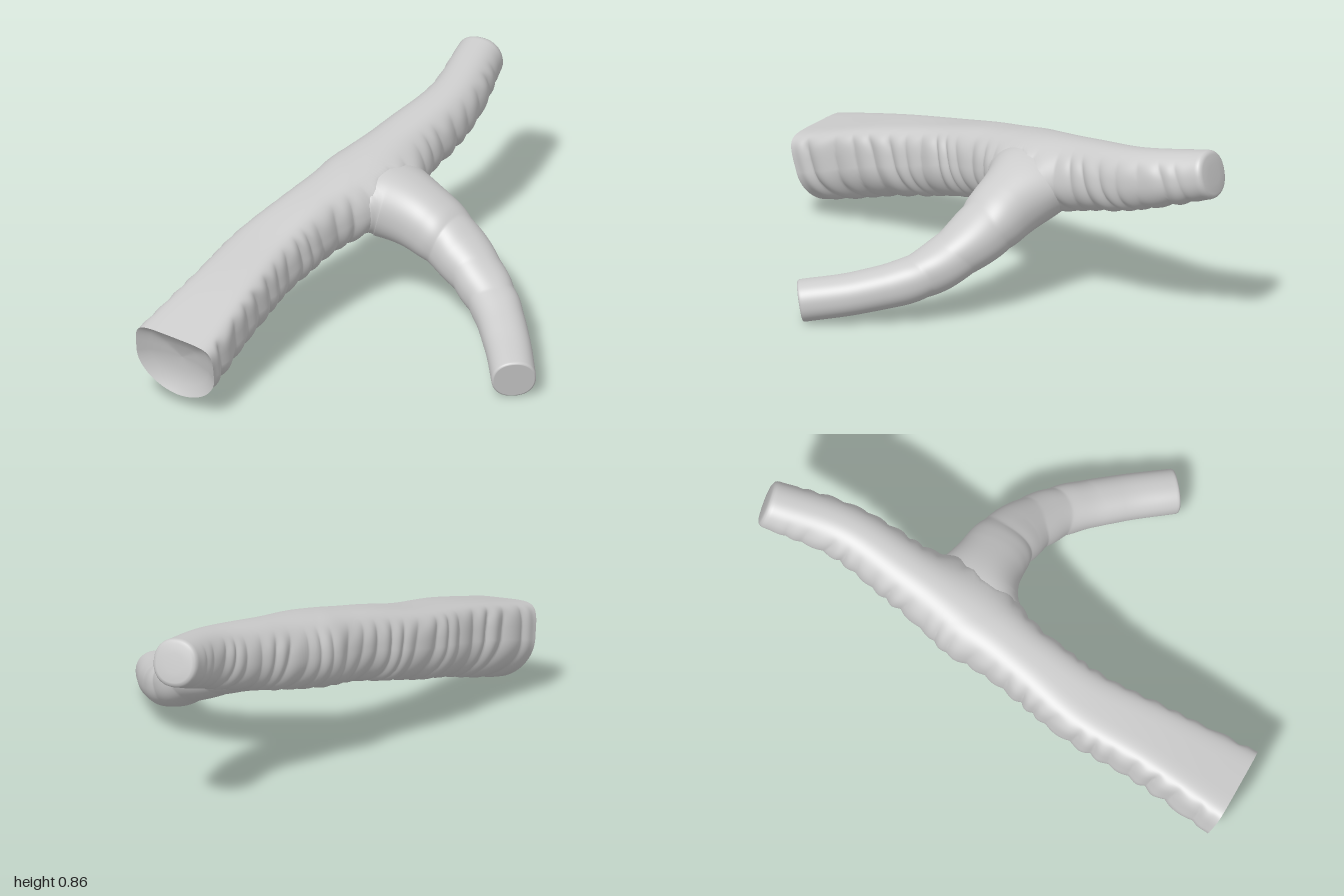
import * as THREE from 'three';

const material = new THREE.MeshStandardMaterial({ color: 0xcccccc, side: THREE.DoubleSide });
const UP = new THREE.Vector3(0, 1, 0);
const SIDES = 72;
const BLEND = 0.2;
const { smoothstep, lerp } = THREE.MathUtils;

// A tube along stations [x, y, z, halfWidth, halfHeight], rolled at its start
function makeTube(stations, startRoll) {
  const curve = points => new THREE.CatmullRomCurve3(points, false, 'catmullrom');
  const path = curve(stations.map(s => new THREE.Vector3(s[0], s[1], s[2])));
  const size = curve(stations.map(s => new THREE.Vector3(s[3], s[4], 0)));
  const frame = t => {
    const tangent = path.getTangent(t);
    const side = new THREE.Vector3().crossVectors(tangent, UP).normalize()
      .applyAxisAngle(tangent, startRoll * (1 - smoothstep(t, 0, 0.3)));
    const up = new THREE.Vector3().crossVectors(side, tangent);
    return { centre: path.getPoint(t), tangent, side, up, half: size.getPoint(t) };
  };
  const samples = Array.from({ length: 121 }, (_, i) => frame(i / 120));
  return { frame, samples };
}

// Approximate distance from a point to the surface of a tube
function distanceTo(tube, p) {
  let best = Infinity, near;
  for (const s of tube.samples) {
    const d = s.centre.distanceToSquared(p);
    if (d < best) { best = d; near = s; }
  }
  const v = p.clone().sub(near.centre);
  const radius = Math.hypot(v.dot(near.side) / near.half.x, v.dot(near.up) / near.half.y);
  return Math.hypot((radius - 1) * Math.min(near.half.x, near.half.y), v.dot(near.tangent));
}

// Sweeps section(t, angle) along a tube and widens it where it meets the other tube.
// Caps are lists of [scale, offset along the path].
function sweep(name, tube, other, steps, section, startCap, endCap) {
  const rows = [];
  startCap.forEach(([s, off]) => rows.push([0, s, off]));
  for (let i = 0; i <= steps; i++) rows.push([i / steps, 1, 0]);
  endCap.forEach(([s, off]) => rows.push([1, s, off]));

  const positions = [], index = [];
  rows.forEach(([t, scale, offset], i) => {
    const { centre, tangent, side, up, half } = tube.frame(t);
    centre.addScaledVector(tangent, offset);
    for (let j = 0; j < SIDES; j++) {
      const [u, v] = section(t, (j / SIDES) * Math.PI * 2);
      const radial = new THREE.Vector3()
        .addScaledVector(side, u * half.x * scale)
        .addScaledVector(up, v * half.y * scale);
      const p = centre.clone().add(radial);
      const h = Math.max(0, 1 - distanceTo(other, p) / BLEND);
      radial.normalize();
      radial.y *= 0.12;
      p.addScaledVector(radial, h * h * BLEND * 0.28);
      positions.push(p.x, p.y, p.z);
      if (i < rows.length - 1) {
        const a = i * SIDES + j, b = i * SIDES + (j + 1) % SIDES;
        index.push(a, a + SIDES, b, b, a + SIDES, b + SIDES);
      }
    }
  });
  const geometry = new THREE.BufferGeometry();
  geometry.setAttribute('position', new THREE.Float32BufferAttribute(positions, 3));
  geometry.setIndex(index);
  geometry.computeVertexNormals();
  const mesh = new THREE.Mesh(geometry, material);
  mesh.name = name;
  return mesh;
}

const power = (v, e) => Math.sign(v) * Math.abs(v) ** e;

// Rounded swellings with narrow grooves between them, slightly irregular
function rib(k, a) {
  const phase = k + 0.12 * Math.sin(2 * a + k * 1.3) + 0.1 * Math.sin(k * 2.1);
  return (Math.abs(Math.sin(Math.PI * phase)) - 0.65) * (1 + 0.3 * Math.sin(k * 1.7 + a));
}

// Main tube: flat smooth top that rounds off along its length, ribbed sides and underside
function mainSection(t, a) {
  const c = Math.cos(a), s = Math.sin(a);
  const flat = 1 - smoothstep(t, 0, 0.7);
  const e = s > 0 ? lerp(0.9, 0.45, flat) : lerp(0.93, 1.05, flat);
  const mask = 1 - smoothstep(s, 0.25, 0.8);
  const ends = smoothstep(t, 0, 0.03) * (1 - smoothstep(t, 0.93, 1));
  const r = 1 + 0.085 * mask * ends * rib(t * 25, a);
  const sag = s > 0 ? 1 - 0.08 * flat * s * s : 1;
  return [power(c, e) * r, power(s, e) * r * sag];
}

// Side branch: nearly smooth, with a few faint rings
function branchSection(t, a) {
  const fade = smoothstep(t, 0.35, 0.45) * (1 - smoothstep(t, 0.65, 0.8));
  const r = 1 + 0.05 * fade * rib(t * 9, a);
  return [power(Math.cos(a), 0.9) * r, power(Math.sin(a), 0.9) * r];
}

export function createModel() {
  const group = new THREE.Group();
  group.name = 'branchingAirway';

  const main = makeTube([
    [-0.785, 0.243, 0.845, 0.207, 0.187],
    [-0.53, 0.345, 0.545, 0.174, 0.182],
    [-0.305, 0.42, 0.27, 0.164, 0.174],
    [-0.07, 0.49, 0.06, 0.157, 0.172],
    [0.19, 0.545, -0.17, 0.157, 0.172],
    [0.43, 0.602, -0.39, 0.147, 0.162],
    [0.67, 0.67, -0.63, 0.125, 0.14],
    [0.842, 0.75, -0.935, 0.109, 0.112],
  ], 0.09);
  // The branch leaves the main tube, then bends forward and down
  const branch = makeTube([
    [0.12, 0.53, -0.11, 0.12, 0.12],
    [0.30, 0.515, -0.10, 0.16, 0.16],
    [0.47, 0.45, 0.0, 0.16, 0.15],
    [0.617, 0.34, 0.15, 0.137, 0.122],
    [0.728, 0.213, 0.375, 0.115, 0.104],
    [0.758, 0.14, 0.65, 0.106, 0.095],
    [0.755, 0.097, 0.91, 0.102, 0.095],
  ], 0);

  // Scooped mouth at the start, rounded closed end
  group.add(sweep('mainTube', main, branch, 400, mainSection,
    [[0, 0.06], [0.4, 0.055], [0.75, 0.035], [0.97, 0.004], [1, 0]],
    [[0.98, 0.012], [0.92, 0.022], [0.8, 0.028], [0.4, 0.03], [0, 0.03]]));
  group.add(sweep('sideBranch', branch, main, 200, branchSection,
    [[0, 0], [1, 0]],
    [[0.98, 0.006], [0.93, 0.01], [0.9, 0.01], [0, 0.01]]));

  return group;
}
